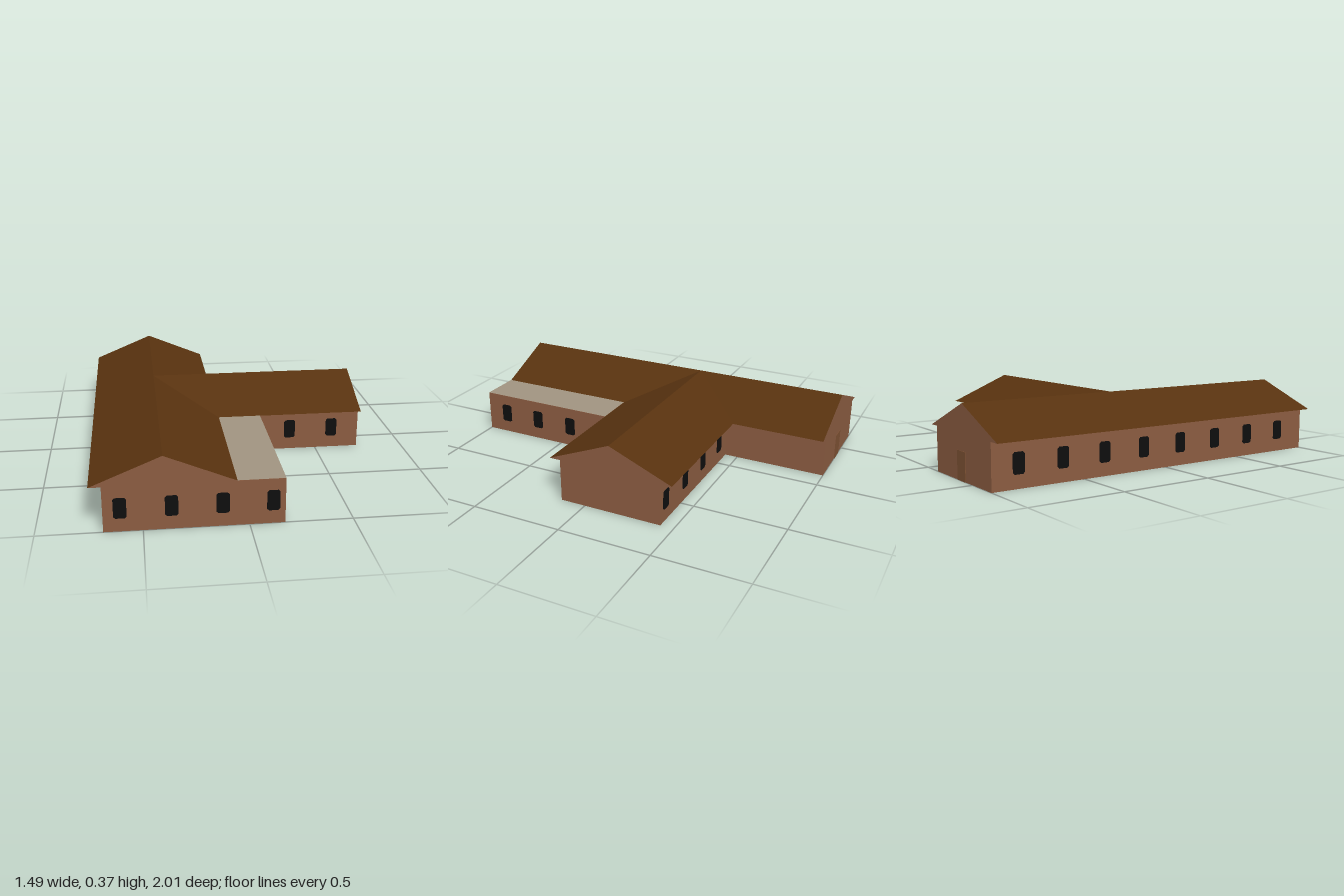
import * as THREE from 'three';

export function createModel() {
  const model = new THREE.Group();
  const material = (name, color, side = THREE.FrontSide) => {
    const m = new THREE.MeshStandardMaterial({ color, side });
    m.name = name;
    return m;
  };
  const wallMat = material('brown wall', 0x8b5c41);
  const gableMat = material('brown wall', 0x8b5c41, THREE.DoubleSide);
  const roofMat = material('dark roof', 0x58320f, THREE.DoubleSide);
  const flatMat = material('grey flat roof', 0xa09480, THREE.DoubleSide);
  const glassMat = material('black window', 0x0e0e0e);
  const doorMat = material('wooden door', 0x7d5133);

  const add = (name, geometry, mat, parent = model) => {
    const mesh = new THREE.Mesh(geometry, mat);
    mesh.name = name;
    parent.add(mesh);
    return mesh;
  };

  // Main dimensions
  const H = 0.23, TOP = 0.372;
  const RX = -0.402, RZ = -0.145;      // ridge lines
  const EAVE = 0.343, WALL = 0.283;    // half widths of roof and walls
  const W = RX - EAVE, E = RX + EAVE, N = RZ - EAVE, S = RZ + EAVE;
  const wW = RX - WALL, wE = RX + WALL, wN = RZ - WALL, wS = RZ + WALL;
  const END = 0.743, ANNEX = 0.17;

  // Convex flat polygon, corners counter-clockwise seen from its front
  const polygon = (...pts) => {
    const pos = [];
    for (let i = 1; i < pts.length - 1; i++) pos.push(...pts[0], ...pts[i], ...pts[i + 1]);
    const g = new THREE.BufferGeometry();
    g.setAttribute('position', new THREE.Float32BufferAttribute(pos, 3));
    g.computeVertexNormals();
    return g;
  };

  // Walls: the T-shaped footprint with the annex, extruded upward
  const plan = new THREE.Shape([
    [wW, -1], [wE, -1], [wE, wN], [END, wN], [END, wS], [ANNEX, wS], [ANNEX, 1], [wW, 1],
  ].map(([x, z]) => new THREE.Vector2(x, -z)));
  const walls = new THREE.ExtrudeGeometry(plan, { depth: H, bevelEnabled: false });
  add('walls', walls.rotateX(-Math.PI / 2), wallMat);

  // Sloping roofs, meeting in two valleys
  const roof = new THREE.Group();
  roof.name = 'roof';
  model.add(roof);
  const meet = [RX, TOP, RZ];
  add('westSlope', polygon([W, H, -1], [W, H, 1], [RX, TOP, 1], [RX, TOP, -1]), roofMat, roof);
  add('eastSlopeFront', polygon(meet, [RX, TOP, 1], [E, H, 1], [E, H, S]), roofMat, roof);
  add('eastSlopeBack', polygon([RX, TOP, -1], meet, [E, H, N], [E, H, -1]), roofMat, roof);
  add('wingSlopeFront', polygon(meet, [E, H, S], [END, H, S], [END, TOP, RZ]), roofMat, roof);
  add('wingSlopeBack', polygon(meet, [END, TOP, RZ], [END, H, N], [E, H, N]), roofMat, roof);

  // Gable ends
  add('frontGable', polygon([W, H, 1], [E, H, 1], [RX, TOP, 1]), gableMat);
  add('backGable', polygon([E, H, -1], [W, H, -1], [RX, TOP, -1]), gableMat);
  add('wingGable', polygon([END, H, S], [END, H, N], [END, TOP, RZ]), gableMat);

  // Soffits under the overhanging eaves
  const soffit = (x0, x1, z0, z1) =>
    add('soffit', polygon([x0, H, z0], [x1, H, z0], [x1, H, z1], [x0, H, z1]), gableMat);
  soffit(W, wW, -1, 1);
  soffit(wE, E, -1, wN);
  soffit(E, END, N, wN);
  soffit(ANNEX, END, wS, S);

  // Flat roof of the annex
  const fy = H + 0.001;
  add('flatRoof', polygon([E, fy, S], [E, fy, 1], [ANNEX, fy, 1], [ANNEX, fy, S]), flatMat);

  // Windows: thin plates with clipped corners
  const w = 0.031, h = 0.052, c = 0.009;
  const pane = new THREE.ExtrudeGeometry(new THREE.Shape([
    [-w + c, -h], [w - c, -h], [w, -h + c], [w, h - c],
    [w - c, h], [-w + c, h], [-w, h - c], [-w, -h + c],
  ].map(([x, y]) => new THREE.Vector2(x, y))), { depth: 0.003, bevelEnabled: false });
  const windowAt = (x, z, angle) => {
    const mesh = add('window', pane, glassMat);
    mesh.position.set(x, 0.12, z);
    mesh.rotation.y = angle;
  };
  for (let i = 0; i < 4; i++) {
    windowAt(-0.605 + i * 0.239, 1, 0);
    windowAt(ANNEX, 0.875 - i * 0.221, Math.PI / 2);
    windowAt(0.68 - i * 0.23, wN, Math.PI);
  }
  for (const x of [0.35, 0.59]) windowAt(x, wS, 0);
  for (let i = 0; i < 8; i++) windowAt(wW, -0.86 + i * 0.239, -Math.PI / 2);

  // Back door
  const door = add('door', new THREE.BoxGeometry(0.084, 0.145, 0.006), doorMat);
  door.position.set(-0.39, 0.0725, -1);

  return model;
}
